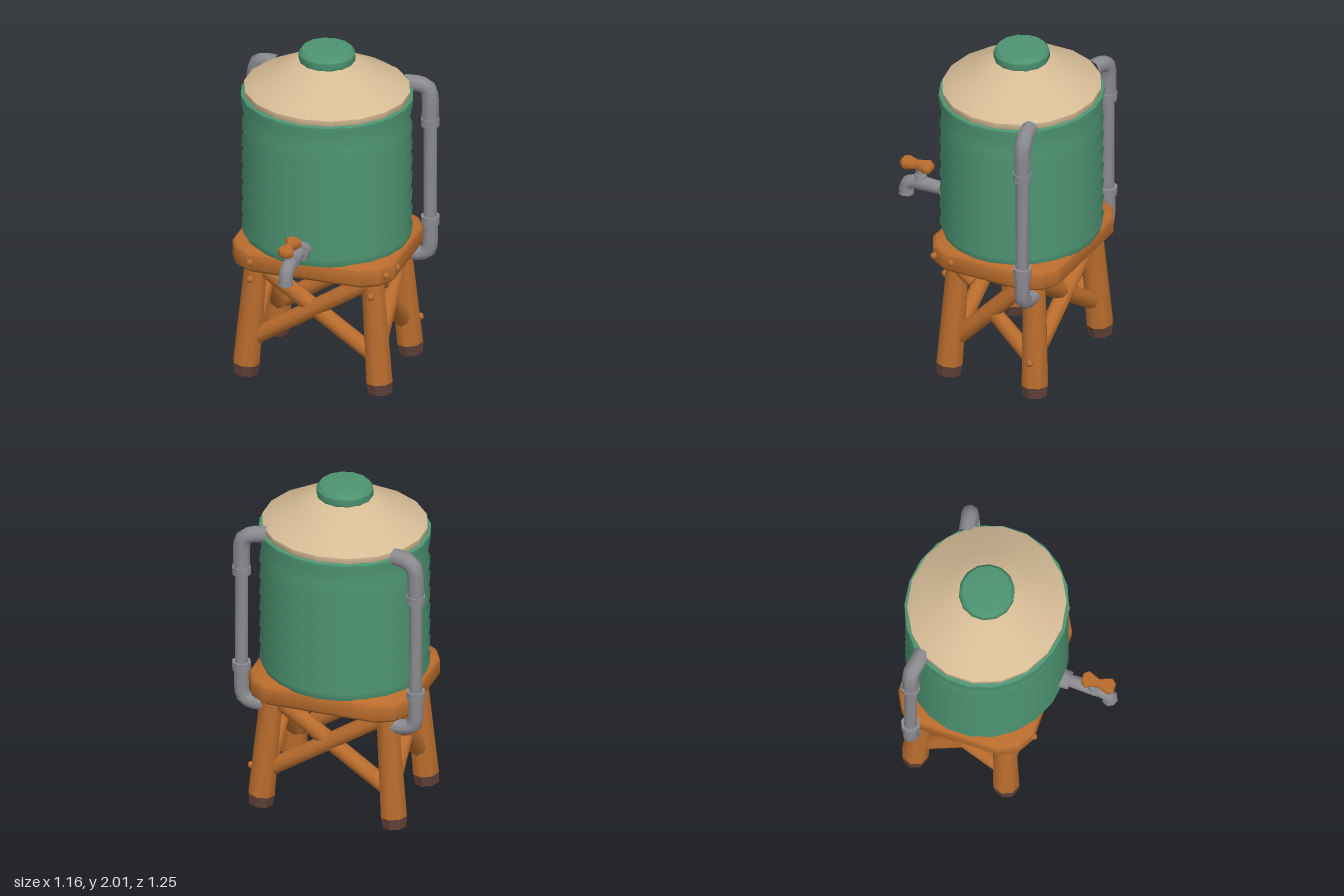
import * as THREE from 'three';
import { toCreasedNormals } from 'three/addons/utils/BufferGeometryUtils.js';

const V = (x, y, z) => new THREE.Vector3(x, y, z);
const flat = (name, color) => {
  const m = new THREE.MeshStandardMaterial({ color });
  m.name = name;
  return m;
};

export function createModel() {
  const root = new THREE.Group();
  root.name = 'waterTank';
  const green = flat('green', 0x4d9472);
  const tan = flat('tan', 0xd6bc96);
  const wood = flat('wood', 0xb96c2d);
  const metal = flat('metal', 0x8b8b90);
  const footBrown = flat('footBrown', 0x5f4038);
  const CZ = -0.16; // centre of the tank in z

  function add(name, geo, mat, crease = 0.7) {
    const mesh = new THREE.Mesh(crease ? toCreasedNormals(geo, crease) : geo, mat);
    mesh.name = name;
    root.add(mesh);
    return mesh;
  }
  // Tapered round bar from a to b
  function bar(name, a, b, ra, rb, mat, sides = 8, crease = 0.9) {
    const g = new THREE.CylinderGeometry(rb, ra, a.distanceTo(b), sides);
    const m = add(name, g, mat, crease);
    m.position.copy(a).add(b).multiplyScalar(0.5);
    m.quaternion.setFromUnitVectors(V(0, 1, 0), b.clone().sub(a).normalize());
    return m;
  }
  // Slightly oval turned part around the tank axis
  function turned(name, pts, mat, sides, crease) {
    const g = new THREE.LatheGeometry(pts.map(p => new THREE.Vector2(p[0], p[1])), sides);
    g.scale(1, 1, 0.94);
    g.translate(0, 0, CZ);
    return add(name, g, mat, crease);
  }
  function tube(name, pts, r, mat) {
    const path = new THREE.CatmullRomCurve3(pts, false, 'catmullrom', 0.4);
    return add(name, new THREE.TubeGeometry(path, 10, r, 8, false), mat, 0);
  }

  // Corrugated tank wall
  const wall = [[0, 0.82], [0.47, 0.82]];
  for (let i = 0; i < 8; i++) {
    wall.push([0.49, 0.875 + i * 0.104], [0.47, 0.927 + i * 0.104]);
  }
  wall.splice(-2, 2, [0.494, 1.675], [0.494, 1.705], [0.46, 1.712]);
  turned('tankWall', wall, green, 22, 0.95);

  // Conical roof and lid
  turned('roof', [[0.46, 1.69], [0.477, 1.715], [0.477, 1.745], [0.41, 1.785],
    [0.28, 1.85], [0.15, 1.92], [0, 1.925]], tan, 18, 0.8);
  const lid = turned('lid', [[0, 1.9], [0.15, 1.9], [0.163, 1.92], [0.163, 1.96],
    [0.145, 1.983], [0, 2.0]], green, 14, 0.6);
  lid.geometry.translate(0, 0, CZ);
  lid.geometry.scale(1, 1, 1 / 0.94 * 0.97).translate(0, 0, -CZ * (1 / 0.94 * 0.97 * 2 - 1));

  // Platform with rounded corners
  const hx = 0.465, hz = 0.385, c = 0.14, k = 0.05;
  const outline = [];
  for (const [sx, sy] of [[1, 1], [-1, 1], [-1, -1], [1, -1]]) {
    const corner = [[hx, hz - c], [hx - k, hz - k], [hx - c, hz]];
    if (sx * sy < 0) corner.reverse();
    corner.forEach(p => outline.push(new THREE.Vector2(p[0] * sx, p[1] * sy)));
  }
  const slab = new THREE.ExtrudeGeometry(new THREE.Shape(outline),
    { depth: 0.09, bevelThickness: 0.02, bevelSize: 0.02, bevelSegments: 1 });
  slab.rotateX(-Math.PI / 2).translate(0, 0.72, -0.17);
  add('platform', slab, wood, 0.85);

  // Splayed legs with dark feet
  for (const s of [-1, 1]) {
    for (const [z0, z1] of [[0.095, 0.065], [-0.455, -0.42]]) {
      const foot = V(s * 0.402, 0.0, z0), top = V(s * 0.345, 0.72, z1);
      const split = foot.clone().lerp(top, 0.09);
      bar('leg', split, top, 0.079, 0.067, wood, 8);
      bar('foot', foot, split, 0.072, 0.08, footBrown, 8, 0.6);
    }
    // Side braces: one full diagonal, a half diagonal and a short stub
    const x = s * 0.37;
    bar('sideBrace', V(x, 0.2, 0.08), V(x, 0.72, -0.41), 0.05, 0.05, wood);
    bar('sideBraceHalf', V(x, 0.2, -0.43), V(x, 0.45, -0.17), 0.05, 0.045, wood);
    bar('sideBraceStub', V(x, 0.69, 0.05), V(x, 0.62, -0.05), 0.05, 0.045, wood);
  }

  // Crossed braces front and back
  for (const z of [0.075, -0.43]) {
    for (const s of [-1, 1]) {
      bar('crossBrace', V(-s * 0.385, 0.2, z), V(s * 0.345, 0.69, z + s * 0.012), 0.05, 0.05, wood);
    }
  }

  // Small wood knots
  for (const [x, y, z] of [[-0.33, 0.765, 0.235], [0.46, 0.77, 0.16], [0.36, 0.61, 0.14],
    [-0.36, 0.61, 0.14], [0.46, 0.23, -0.45], [0.485, 0.77, 0.04]]) {
    const knot = add('woodKnot', new THREE.SphereGeometry(0.022, 6, 4), wood, 0);
    knot.position.set(x, y, z);
  }

  // Side pipes with elbows and collars
  for (const s of [-1, 1]) {
    const z = -0.437, x = s * 0.523;
    tube('upperElbow', [V(s * 0.38, 1.715, -0.41), V(s * 0.46, 1.71, -0.425),
      V(s * 0.508, 1.685, z), V(x, 1.62, z), V(x, 1.48, z)], 0.049, metal);
    bar('pipe', V(x, 0.85, z), V(x, 1.5, z), 0.039, 0.039, metal);
    tube('lowerElbow', [V(x, 0.87, z), V(x, 0.72, z), V(s * 0.508, 0.66, z),
      V(s * 0.46, 0.638, z), V(s * 0.38, 0.635, z)], 0.045, metal);
    for (const y of [1.477, 0.86]) {
      bar('pipeCollar', V(x, y - 0.024, z), V(x, y + 0.024, z), 0.056, 0.056, metal, 8, 0.8);
    }
  }

  // Tap body and spout
  bar('tapFlange', V(0, 0.927, 0.26), V(0, 0.927, 0.34), 0.06, 0.056, metal);
  bar('tapPipe', V(0, 0.927, 0.3), V(0, 0.927, 0.5), 0.036, 0.044, metal);
  tube('tapSpout', [V(0, 0.927, 0.47), V(0, 0.925, 0.53), V(0, 0.905, 0.566),
    V(0, 0.87, 0.575), V(0, 0.845, 0.576)], 0.042, metal);
  bar('spoutLip', V(0, 0.838, 0.576), V(0, 0.875, 0.576), 0.046, 0.044, metal);
  bar('tapStemBase', V(0, 0.95, 0.485), V(0, 0.985, 0.485), 0.042, 0.034, metal);
  bar('tapStem', V(0, 0.98, 0.487), V(0, 1.03, 0.497), 0.022, 0.022, metal);

  // Bow-tie tap handle
  const bow = [[0.015, 0], [0.042, 0.068], [0.022, 0.092], [-0.022, 0.092], [-0.042, 0.068],
    [-0.015, 0], [-0.042, -0.068], [-0.022, -0.092], [0.022, -0.092], [0.042, -0.068]];
  const handle = new THREE.ExtrudeGeometry(
    new THREE.Shape(bow.map(p => new THREE.Vector2(p[0], p[1]))),
    { depth: 0.026, bevelThickness: 0.013, bevelSize: 0.008, bevelOffset: -0.003, bevelSegments: 1 });
  handle.rotateX(-Math.PI / 2).translate(0, 1.026, 0.508);
  add('tapHandle', handle, wood, 0.8);

  return root;
}
